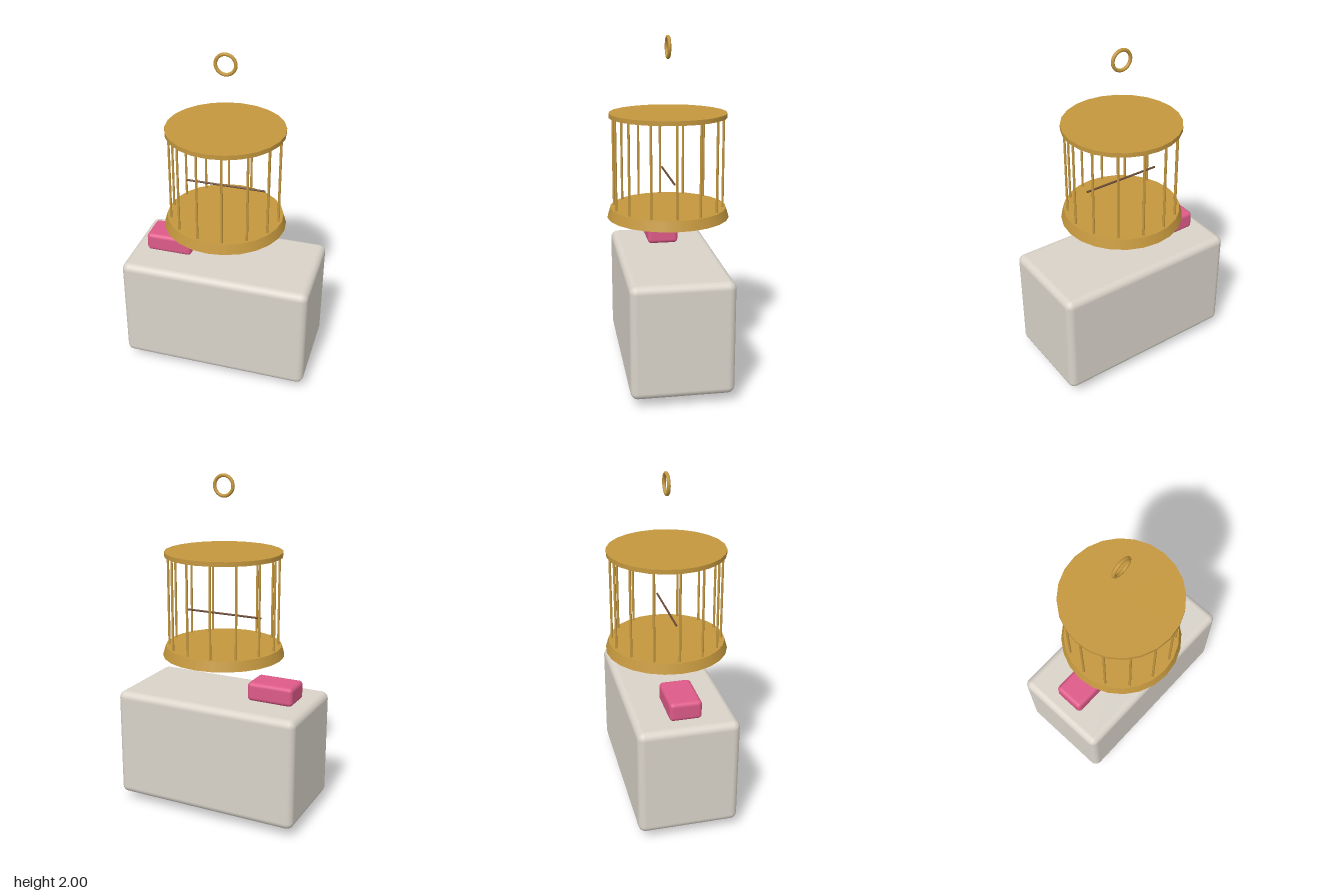
import * as THREE from 'three';
import { RoundedBoxGeometry } from 'three/addons/geometries/RoundedBoxGeometry.js';

export function createModel() {
  const model = new THREE.Group();
  const paint = (color) => new THREE.MeshStandardMaterial({ color });
  const brass = paint(0xc4973e);
  const cream = paint(0xd9d3c9);
  const pink = paint(0xdd5a88);
  const gold = paint(0xcfa632);
  const wood = paint(0x6b4a35);

  const add = (name, geometry, material, x = 0, y = 0, z = 0, parent = model) => {
    const mesh = new THREE.Mesh(geometry, material);
    mesh.name = name;
    mesh.position.set(x, y, z);
    parent.add(mesh);
    return mesh;
  };

  // Body block with a small block resting on its right end
  add('body', new RoundedBoxGeometry(1.134, 0.66, 0.586, 4, 0.042), cream, 0, 0.388, 0);
  add('topBlock', new RoundedBoxGeometry(0.28, 0.112, 0.186, 4, 0.024), pink, -0.333, 0.776, 0);

  // Flattened knob under the body
  add('bottomKnob', new THREE.SphereGeometry(1, 24, 16), gold, 0, 0.055, 0)
    .scale.set(0.068, 0.05, 0.047);

  // Cage: tapered floor, roof disc and a ring of bars
  const cage = new THREE.Group();
  cage.name = 'cage';
  model.add(cage);
  const floorY = 1.013, roofY = 1.54;
  add('cageFloor', new THREE.CylinderGeometry(0.341, 0.358, 0.058, 24), brass, 0, 0.984, 0, cage);
  add('cageRoof', new THREE.CylinderGeometry(0.341, 0.341, 0.026, 24), brass, 0, 1.553, 0, cage);

  const bars = 14;
  const barGeometry = new THREE.CylinderGeometry(0.007, 0.007, roofY - floorY + 0.01, 8);
  for (let i = 0; i < bars; i++) {
    const a = (i / bars) * Math.PI * 2;
    add('cageBar', barGeometry, brass,
      0.32 * Math.cos(a), (floorY + roofY) / 2, 0.32 * Math.sin(a), cage);
  }

  // Perch across the inside of the cage
  add('perch', new THREE.CylinderGeometry(0.006, 0.006, 0.475, 8), wood, 0, 1.196, 0, cage)
    .rotation.z = Math.PI / 2;

  // Hanging ring above the cage
  add('hangingRing', new THREE.TorusGeometry(0.057, 0.01, 10, 28), brass, 0, 1.933, 0);

  return model;
}
